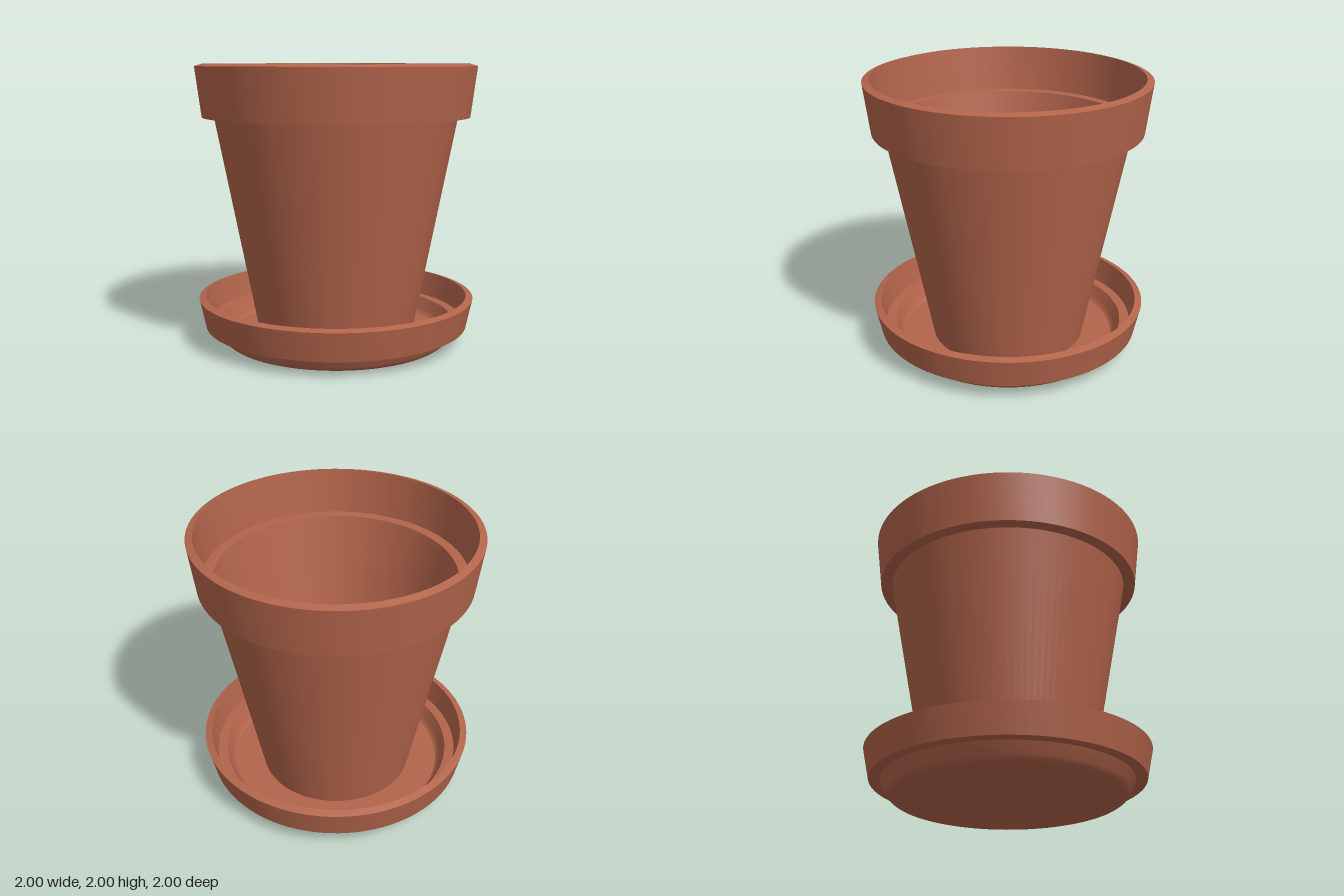
import * as THREE from 'three';
import { toCreasedNormals } from 'three/addons/utils/BufferGeometryUtils.js';

const SEGMENTS = 96;

// Revolves a closed wall profile, running from the underside centre, up the outside, then down the inside
function turned(name, profile, material) {
  const points = profile.map(([r, y]) => new THREE.Vector2(r, y));
  const geometry = toCreasedNormals(new THREE.LatheGeometry(points, SEGMENTS), 0.55);
  const mesh = new THREE.Mesh(geometry, material);
  mesh.name = name;
  return mesh;
}

export function createModel() {
  const terracotta = new THREE.MeshStandardMaterial({ color: 0xb3654b });
  terracotta.name = 'terracotta';

  const group = new THREE.Group();
  group.name = 'flowerPotWithSaucer';

  // Tapered pot with an overhanging collar and an inner ledge
  group.add(turned('pot', [
    [0, 0.04], [0.562, 0.04], [0.87, 1.63],
    [0.955, 1.63], [1, 1.985], [0.95, 2],
    [0.915, 1.67], [0.84, 1.67],
    [0.525, 0.08], [0, 0.08],
  ], terracotta));

  // Shallow saucer with rounded foot, collar and inner ledge
  group.add(turned('saucer', [
    [0, 0], [0.78, 0], [0.803, 0.005], [0.822, 0.018], [0.836, 0.04], [0.873, 0.115],
    [0.955, 0.115], [1, 0.322], [0.95, 0.336],
    [0.915, 0.155], [0.845, 0.155],
    [0.808, 0.075], [0.797, 0.054], [0.78, 0.04], [0, 0.04],
  ], terracotta));

  return group;
}
